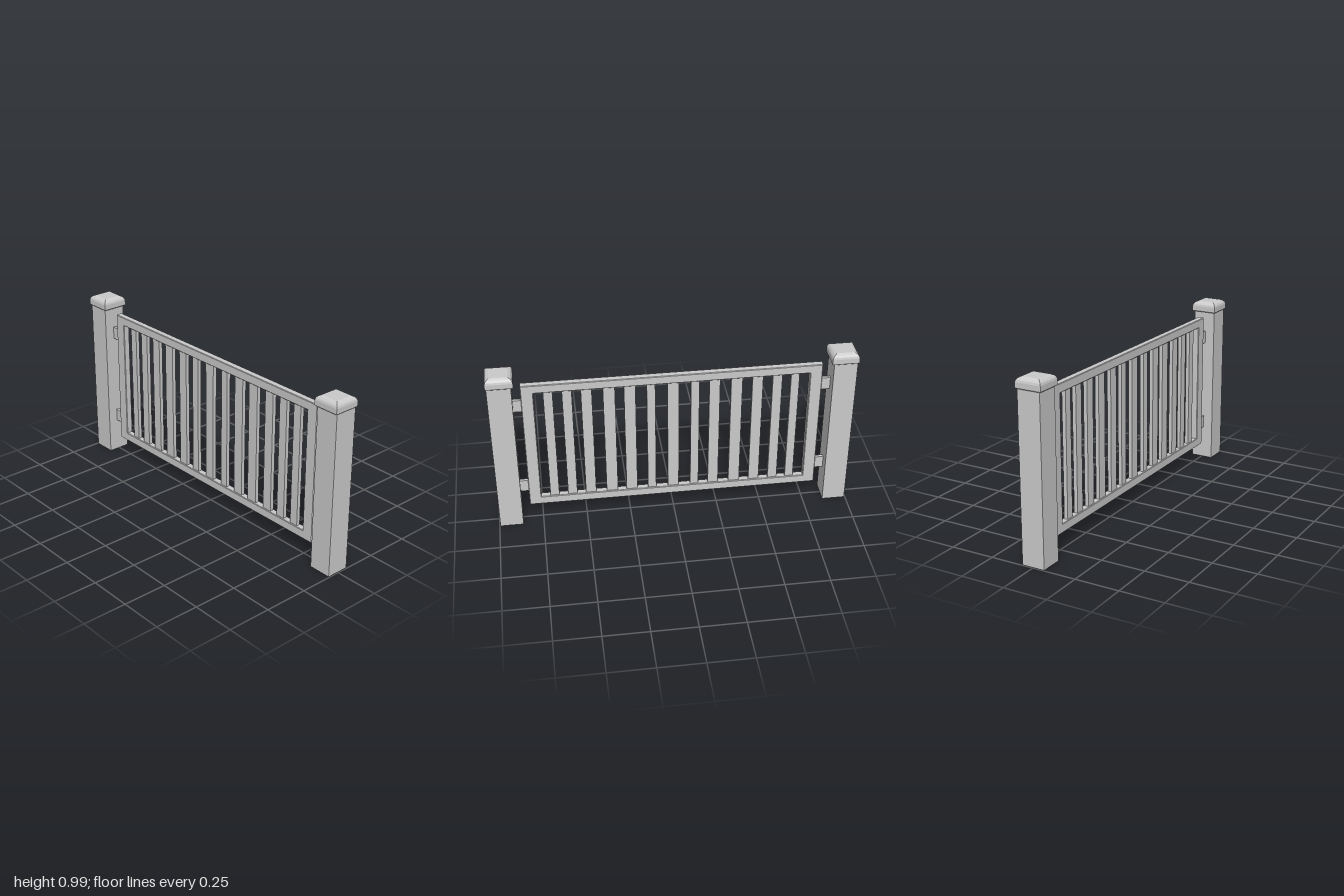
import * as THREE from 'three';

const material = new THREE.MeshStandardMaterial({ color: 0xcccccc, flatShading: true });

function add(parent, name, geometry, x = 0, y = 0, z = 0) {
  const mesh = new THREE.Mesh(geometry, material);
  mesh.name = name;
  mesh.position.set(x, y, z);
  parent.add(mesh);
  return mesh;
}

// Square cap from a four-sided lathe; profile pairs are [half width, height]
function capGeometry() {
  const profile = [[0, 0.925], [0.07, 0.925], [0.074, 0.929], [0.074, 0.958],
    [0.071, 0.969], [0.063, 0.979], [0.05, 0.986], [0, 0.986]];
  const points = profile.map(([h, y]) => new THREE.Vector2(h * Math.SQRT2, y));
  return new THREE.LatheGeometry(points, 4).rotateY(Math.PI / 4);
}

// Rectangular frame with an opening, lying in the YZ plane
function frameGeometry() {
  const rect = (Type, w, y0, y1) => new Type([[-w, y0], [w, y0], [w, y1], [-w, y1]]
    .map(([x, y]) => new THREE.Vector2(x, y)));
  const shape = rect(THREE.Shape, 0.815, 0.103, 0.897);
  shape.holes.push(rect(THREE.Path, 0.754, 0.147, 0.853));
  return new THREE.ExtrudeGeometry(shape, {
    depth: 0.032, bevelEnabled: true, bevelThickness: 0.003, bevelSize: 0.003, bevelSegments: 1,
  }).translate(0, 0, -0.016).rotateY(Math.PI / 2);
}

export function createModel() {
  const model = new THREE.Group();
  model.name = 'gate';

  // Posts, caps and hinges at both ends
  for (const side of [1, -1]) {
    const end = new THREE.Group();
    end.name = side > 0 ? 'frontPost' : 'backPost';
    add(end, 'post', new THREE.BoxGeometry(0.13, 0.94, 0.13), 0, 0.47, side * 0.93);
    add(end, 'postCap', capGeometry(), 0, 0, side * 0.926);
    for (const y of [0.23, 0.77]) {
      add(end, 'hinge', new THREE.BoxGeometry(0.018, 0.072, 0.07), 0, y, side * 0.842);
    }
    model.add(end);
  }

  // Gate panel
  const panel = new THREE.Group();
  panel.name = 'gatePanel';
  add(panel, 'frame', frameGeometry(), 0, 0, 0.002);

  // Slats of slightly uneven width: [centre z, width]
  const slats = [[0.676, 0.05], [0.575, 0.052], [0.471, 0.058], [0.35, 0.064], [0.238, 0.062],
    [0.123, 0.046], [0.002, 0.062], [-0.118, 0.046], [-0.225, 0.058], [-0.346, 0.062],
    [-0.461, 0.058], [-0.57, 0.052], [-0.668, 0.046]];
  for (const [z, width] of slats) {
    add(panel, 'slat', new THREE.BoxGeometry(0.022, 0.73, width), 0, 0.5, z);
  }
  model.add(panel);
  return model;
}
